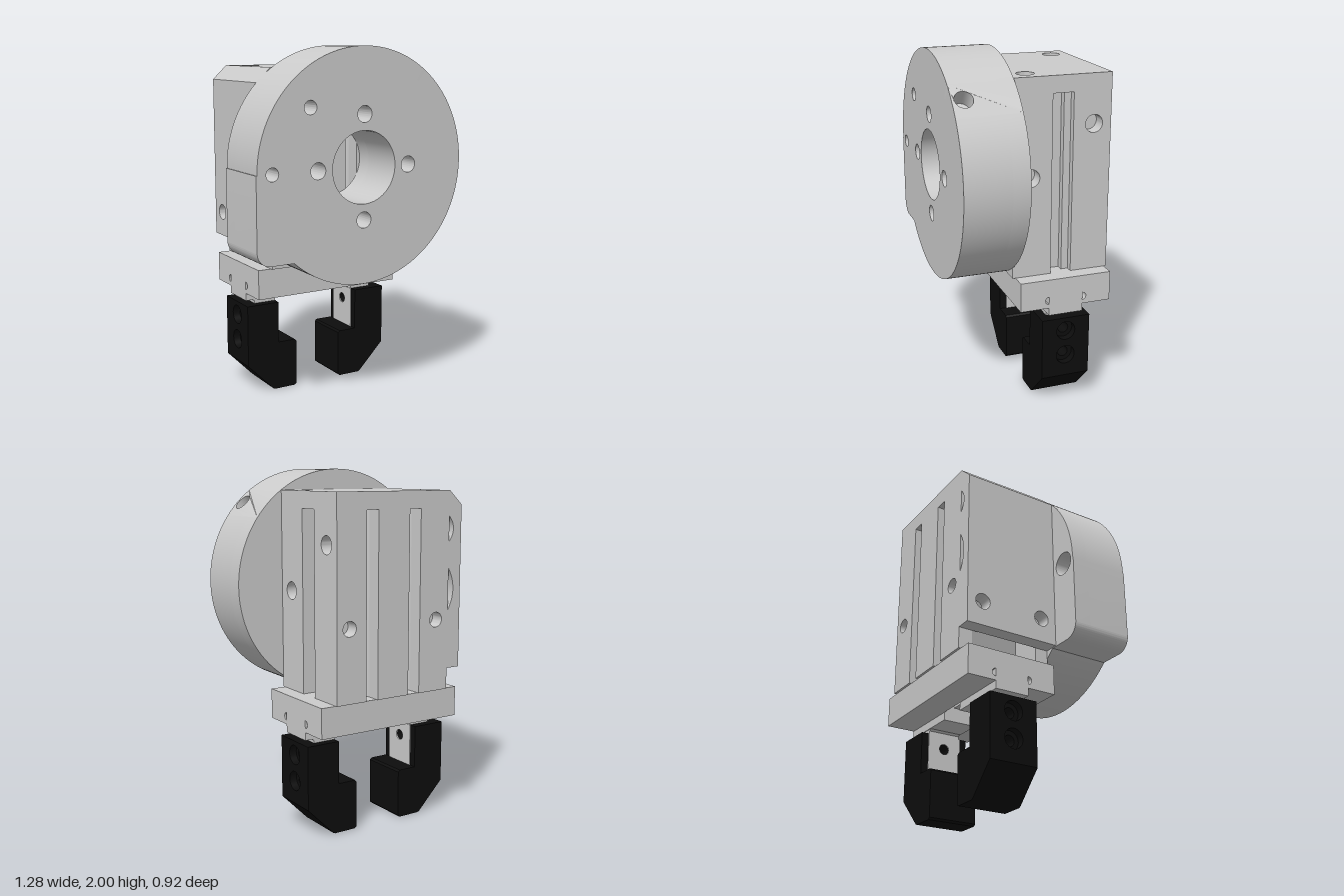
import * as THREE from 'three';
import { toCreasedNormals } from 'three/addons/utils/BufferGeometryUtils.js';

const PI = Math.PI;
const grey = new THREE.MeshStandardMaterial({ color: 0xcccccc });
const black = new THREE.MeshStandardMaterial({ color: 0x0d0d0d });

// Closed shape from corner points, with round holes [u, v, radius]
function poly(points, holes = []) {
  return drill(new THREE.Shape(points.map(p => new THREE.Vector2(...p))), holes);
}
function rect(u0, u1, v0, v1, holes) {
  return poly([[u0, v0], [u1, v0], [u1, v1], [u0, v1]], holes);
}
function drill(shape, holes) {
  for (const [u, v, r] of holes) {
    const h = new THREE.Path();
    h.absarc(u, v, r, 0, 2 * PI, true);
    shape.holes.push(h);
  }
  return shape;
}

// Extrude a shape along an axis between two positions.
// Shape coordinates: axis z -> (x, y), axis x -> (-z, y), axis y -> (x, -z)
function slab(parent, name, shape, axis, from, to, material = grey, segments = 16) {
  const geo = new THREE.ExtrudeGeometry(shape, { depth: to - from, bevelEnabled: false, curveSegments: segments });
  geo.translate(0, 0, from);
  if (axis === 'x') geo.rotateY(PI / 2);
  if (axis === 'y') geo.rotateX(-PI / 2);
  return add(parent, name, geo, material);
}
function add(parent, name, geo, material = grey) {
  const mesh = new THREE.Mesh(toCreasedNormals(geo, 0.5), material);
  mesh.name = name;
  parent.add(mesh);
  return mesh;
}

// Round mounting flange with a square tab and a drilled rim
function makeFlange() {
  const g = new THREE.Group();
  g.name = 'flange';
  const R = 0.64, cy = 1.36, half = 0.1, wall = 0.1;
  const outline = () => {
    const s = new THREE.Shape();
    const d = half / R;
    s.absarc(0, cy, R, Math.atan2(-0.475, -0.43), PI / 4 - d, false);
    s.absarc(0, cy, R - wall, PI / 4 - d, PI / 4 + d, false);
    s.absarc(0, cy, R, PI / 4 + d, PI, false);
    s.lineTo(-0.645, cy);
    s.absarc(-0.565, 0.965, 0.08, PI, 1.5 * PI, false);
    s.closePath();
    return s;
  };
  const holes = [[0, cy, 0.198], [-0.33, 1.69, 0.037]];
  for (let i = 0; i < 4; i++) {
    holes.push([0.285 * Math.cos(i * PI / 2), cy + 0.285 * Math.sin(i * PI / 2), 0.045]);
  }
  slab(g, 'flangeFront', drill(outline(), [...holes, [-0.553, cy, 0.036]]), 'z', 0.2, 0.46, grey, 40);
  slab(g, 'flangeBack', drill(outline(), [...holes, [-0.553, cy, 0.068]]), 'z', 0.102, 0.2, grey, 40);

  // Flat drilled patch bent around the rim
  const pts = [];
  const n = 8;
  for (let i = 0; i <= n; i++) pts.push([-half + 2 * half * i / n, 0.102]);
  for (let i = n; i >= 0; i--) pts.push([-half + 2 * half * i / n, 0.46]);
  const patch = new THREE.ExtrudeGeometry(poly(pts, [[0, 0.395, 0.05]]), { depth: wall, bevelEnabled: false });
  const p = patch.attributes.position;
  for (let i = 0; i < p.count; i++) {
    const a = PI / 4 + p.getX(i) / R, r = R - wall + p.getZ(i);
    p.setXYZ(i, r * Math.cos(a), cy + r * Math.sin(a), p.getY(i));
  }
  add(g, 'drilledRim', patch);
  return g;
}

// Rectangular housing: grooved core clad with drilled and slotted panels
function makeHousing() {
  const g = new THREE.Group();
  g.name = 'housing';
  const L = -0.375, Rt = 0.365, B = -0.46, F = 0.105, t = 0.08;
  const y0 = 0.77, y1 = 1.79, mid = 1.27;

  // Core with rounded groove bottoms; drawn as (x, -z)
  const core = new THREE.Shape();
  core.moveTo(L, -F + t);
  for (const x of [-0.14, 0.14]) core.absarc(x, -F + t, 0.0375, PI, 0, true);
  core.lineTo(Rt - t, -F + t);
  core.lineTo(Rt - t, -B - t);
  for (const x of [0.14, -0.14]) core.absarc(x, -B - t, 0.0375, 0, PI, true);
  core.lineTo(L, -B - t);
  slab(g, 'housingCore', core, 'y', y0, y1);

  // Panels in two height bands, so each band can hold its own drilled corners
  for (const [a, b, upper] of [[y0, mid, false], [mid, y1, true]]) {
    const xr = upper ? Rt - t : Rt;
    const strips = [[L, -0.1775], [-0.1025, 0.1025], [0.1775, xr]];
    strips.forEach(([u0, u1], i) => {
      const holes = upper || i === 1 ? [] : [[i ? 0.285 : -0.29, 1.175, 0.042]];
      slab(g, 'backPanel', rect(u0, u1, a, b, holes), 'z', B, B + t);
      slab(g, 'frontPanel', rect(u0, u1, a, b), 'z', F - t, F);
    });
    const uF = upper ? -F : -F + t, uB = upper ? -B : -B - t;
    slab(g, 'sidePanel', rect(uF, 0.12, a, b, upper ? [[0, 1.335, 0.05]] : []), 'x', Rt - t, Rt);
    slab(g, 'sidePanel', rect(0.24, uB, a, b, upper ? [[0.36, 1.61, 0.05]] : []), 'x', Rt - t, Rt);
    slab(g, 'slotLedge', rect(0.2, 0.24, a, b), 'x', Rt - t, Rt - 0.04);
  }
  slab(g, 'topCap', rect(L, Rt, -F, -B, [[-0.265, 0.36, 0.05], [0.26, 0, 0.05]]), 'y', y1, 1.885);

  // Side cover with a chamfered top, two rounded notches and two drilled holes
  const cover = new THREE.Shape();
  cover.moveTo(-0.46, 1.2);
  cover.lineTo(L, 1.2);
  for (const [y, h, w] of [[1.34, 0.117, 0.035], [1.675, 0.07, 0.03]]) {
    cover.lineTo(L, y - h);
    cover.quadraticCurveTo(L - 2 * w, y, L, y + h);
  }
  cover.lineTo(L, 1.885);
  cover.lineTo(-0.46, 1.805);
  slab(g, 'sideCover', cover, 'z', B, F);
  slab(g, 'sideCoverLower', rect(-F, -B, 0.89, 1.2, [[0.365, 1.03, 0.045], [-0.01, 1.03, 0.045]]), 'x', -0.46, L);
  return g;
}

// Guide plate with a channel and relief grooves along x
function makeGuide() {
  const s = new THREE.Shape();
  s.moveTo(-0.088, 0.6);
  s.lineTo(0.08, 0.6);
  s.absarc(0.08, 0.645, 0.022, -PI / 2, PI / 2, true);
  s.lineTo(0.08, 0.7);
  s.lineTo(0.28, 0.7);
  s.absarc(0.28, 0.645, 0.022, PI / 2, -PI / 2, true);
  s.lineTo(0.28, 0.6);
  s.lineTo(0.447, 0.6);
  s.lineTo(0.447, 0.77);
  s.lineTo(-0.088, 0.77);
  const g = new THREE.Group();
  g.name = 'guide';
  slab(g, 'guidePlate', s, 'x', -0.453, 0.453);
  slab(g, 'guideStop', rect(0.12, 0.24, 0.62, 0.7), 'x', -0.05, 0.05);
  return g;
}

// One sliding jaw on the +x side, centred on z = 0
function makeJaw(name) {
  const g = new THREE.Group();
  g.name = name;
  const bolts = r => [[0, 0.45, r], [0, 0.3, r]];
  slab(g, 'slide', rect(-0.1, 0.1, 0.555, 0.7), 'x', 0.085, 0.453);
  slab(g, 'slideNeck', poly([[0.262, 0.53], [0.395, 0.53], [0.395, 0.545], [0.41, 0.556], [0.247, 0.556], [0.262, 0.545]]),
    'z', -0.095, 0.095);
  slab(g, 'slideLeg', rect(-0.1, 0.1, 0.286, 0.53, [[0, 0.45, 0.03]]), 'x', 0.259, 0.264);
  slab(g, 'fingerArm', rect(-0.142, 0.142, 0.17, 0.53, bolts(0.03)), 'x', 0.264, 0.42, black);
  slab(g, 'fingerArmOuter', rect(-0.142, 0.142, 0.17, 0.53, bolts(0.055)), 'x', 0.42, 0.463, black);
  slab(g, 'fingerTip', poly([[0.463, 0.17], [0.264, 0.17], [0.264, 0.287], [0.157, 0.287], [0.146, 0.276],
    [0.146, 0.013], [0.157, 0.002], [0.29, 0.002], [0.303, 0.008]]), 'z', -0.142, 0.142, black);
  g.position.z = -0.18;
  return g;
}

export function createModel() {
  const model = new THREE.Group();
  model.name = 'gripper';
  const rightJaw = makeJaw('rightJaw');
  rightJaw.rotation.y = PI;
  model.add(makeFlange(), makeHousing(), makeGuide(), makeJaw('leftJaw'), rightJaw);
  return model;
}
